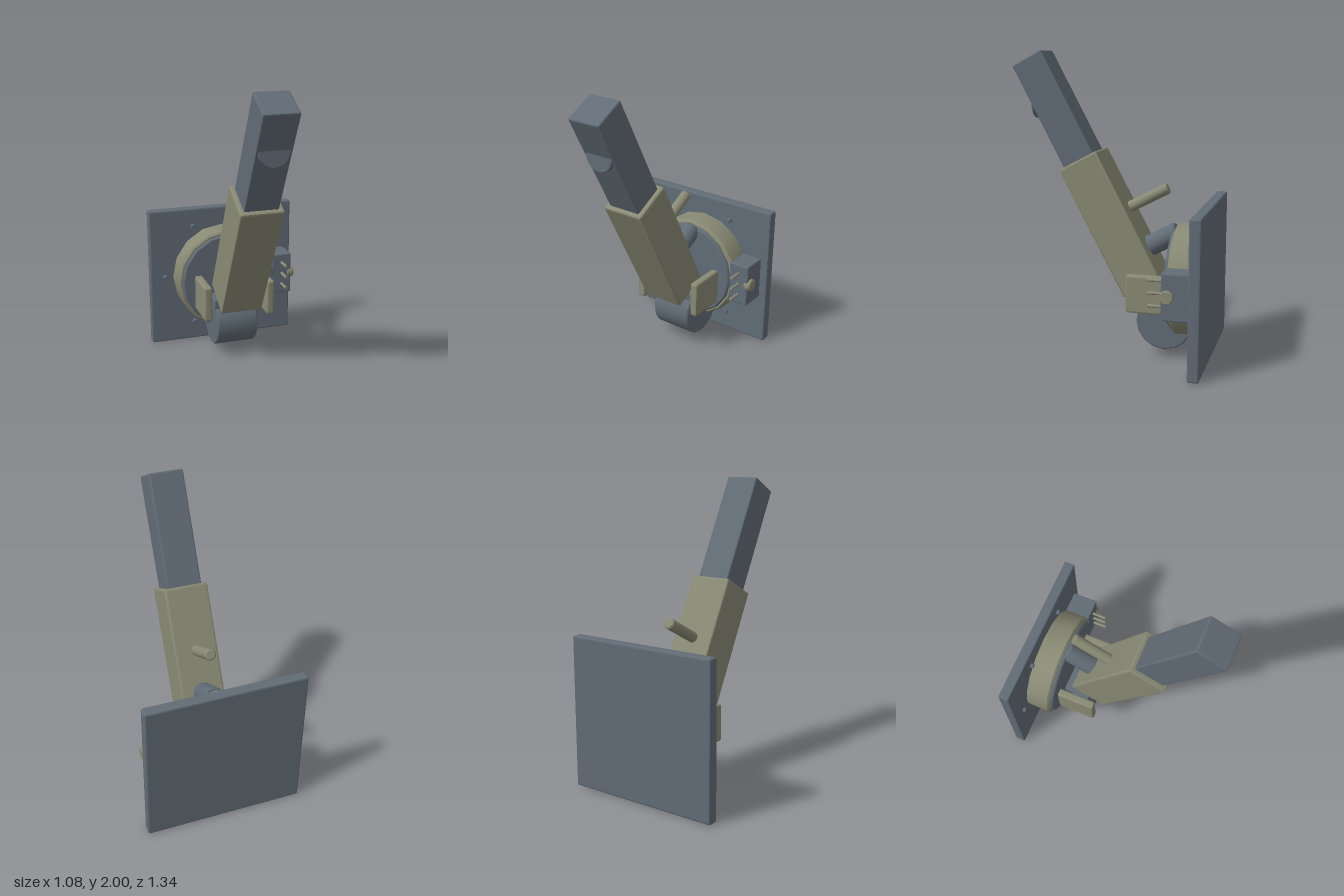
import * as THREE from 'three';
import { toCreasedNormals } from 'three/addons/utils/BufferGeometryUtils.js';
import { RoundedBoxGeometry } from 'three/addons/geometries/RoundedBoxGeometry.js';

const TILT = 0.49; // lean of the arm towards the front
const HUB_Y = 0.515; // height of the round housing

export function createModel() {
  const model = new THREE.Group();
  model.name = 'wallLever';

  const steel = new THREE.MeshStandardMaterial({ color: 0x616c76 });
  steel.name = 'blue grey';
  const olive = new THREE.MeshStandardMaterial({ color: 0x898a74 });
  olive.name = 'olive grey';

  function add(name, geometry, material, x, y, z, parent = model) {
    const mesh = new THREE.Mesh(geometry, material);
    mesh.name = name;
    mesh.position.set(x, y, z);
    parent.add(mesh);
    return mesh;
  }

  // box with narrow chamfered edges
  const box = (w, h, d, r = 0.01) => toCreasedNormals(new RoundedBoxGeometry(w, h, d, 1, r), 0.3);

  // cylinder along y with chamfered rims, smooth around its side
  function drum(radius, length, bevel = 0.01, sides = 16) {
    const h = length / 2;
    const profile = [[0, -h], [radius - bevel, -h], [radius, -h + bevel], [radius, h - bevel], [radius - bevel, h], [0, h]];
    const geometry = new THREE.LatheGeometry(profile.map(([x, y]) => new THREE.Vector2(x, y)), sides);
    return toCreasedNormals(geometry, 0.5);
  }
  const alongZ = (g) => g.rotateX(Math.PI / 2);
  const alongX = (g) => g.rotateZ(Math.PI / 2);

  // Wall plate with its ring of bolts
  add('wallPlate', box(1.08, 1.02, 0.075, 0.012), steel, 0, 0.51, -0.638);
  for (let i = 0; i < 6; i++) {
    const a = (i * Math.PI) / 3;
    add('plateBolt', alongZ(drum(0.017, 0.05, 0.004, 10)), steel,
      0.432 * Math.cos(a), HUB_Y + 0.432 * Math.sin(a), -0.602);
  }

  // Round housing and its front disc
  add('housing', alongZ(drum(0.372, 0.18, 0.014)), olive, 0, HUB_Y, -0.52);
  add('housingDisc', alongZ(drum(0.345, 0.06)), steel, 0, HUB_Y, -0.438);

  // Pivot drum and hinge block under the arm
  add('pivotDrum', alongX(drum(0.188, 0.296, 0.008)), steel, 0, 0.245, -0.373);
  add('hingeBlock', box(0.332, 0.07, 0.124), steel, 0, 0.412, -0.276);

  // Guard blocks on either side
  for (const side of [-1, 1]) {
    add('guardBlock', box(0.056, 0.252, 0.275, 0.014), olive, side * 0.228, 0.447, -0.276);
  }

  // Switch box with button and three prongs
  add('switchBox', box(0.15, 0.305, 0.18), steel, 0.412, 0.512, -0.512);
  add('button', alongX(drum(0.045, 0.05, 0.006)), olive, 0.482, HUB_Y, -0.459);
  for (const dy of [-0.083, 0, 0.083]) {
    add('prong', alongZ(drum(0.0105, 0.14, 0.003, 10)), olive, 0.413, HUB_Y + dy, -0.393);
  }

  // Leaning arm: local y runs up its length, origin at the sleeve's foot
  const arm = new THREE.Group();
  arm.name = 'arm';
  arm.position.set(0, 0.451, -0.227);
  arm.rotation.x = TILT;
  model.add(arm);
  add('armSleeve', box(0.296, 0.95, 0.286, 0.013), olive, 0, 0.475, 0, arm);
  add('armTube', box(0.234, 0.9, 0.226), steel, 0, 1.25, 0, arm);

  // Rear rod and stub, square to the arm
  add('rearRod', alongZ(drum(0.037, 0.36, 0.008)), olive, 0, 0.52, -0.252, arm);
  add('rearStub', alongZ(drum(0.07, 0.32)), steel, 0, 0.23, -0.2, arm);

  // Round boss showing through the front of the tube
  add('frontBoss', alongZ(drum(0.103, 0.18, 0.005, 20)), steel, 0, 1.657, 0.457);

  return model;
}
